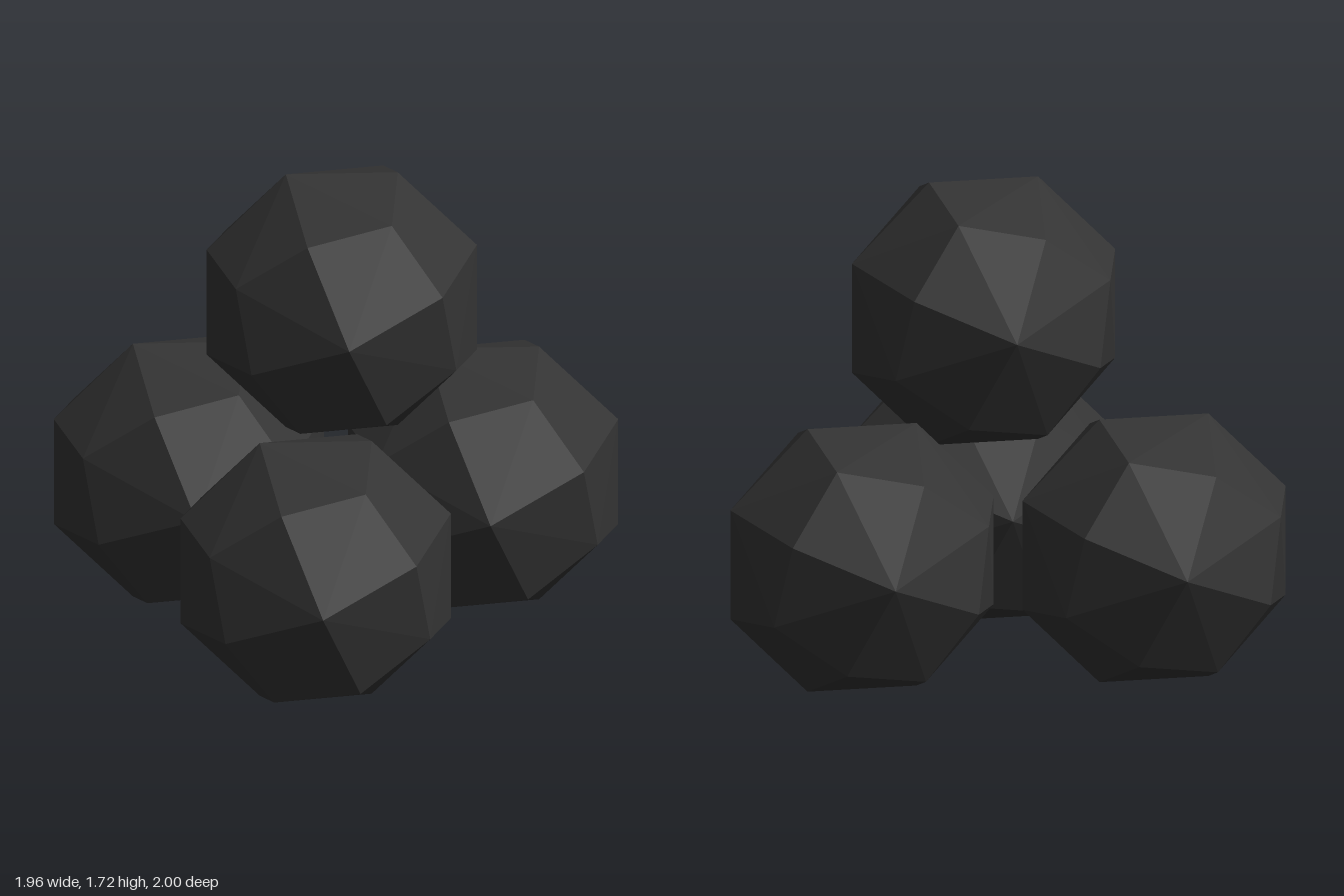
import * as THREE from 'three';
import { ConvexGeometry } from 'three/addons/geometries/ConvexGeometry.js';

const RADIUS = 0.508;

// Faceted ball: the corners, edge midpoints and face centres of a cube pushed onto a sphere
function ballGeometry() {
  const points = [];
  for (let x = -1; x <= 1; x++)
    for (let y = -1; y <= 1; y++)
      for (let z = -1; z <= 1; z++)
        if (x || y || z) points.push(new THREE.Vector3(x, y, z).setLength(RADIUS));
  return new ConvexGeometry(points).rotateZ(Math.PI / 8);
}

export function createModel() {
  const group = new THREE.Group();
  group.name = 'ballPile';
  const charcoal = new THREE.MeshStandardMaterial({ color: 0x333333, flatShading: true });
  charcoal.name = 'charcoal';
  const geometry = ballGeometry();

  // Three balls on the ground and one stacked on top
  const balls = {
    frontBall: [-0.12, 0.47, 0.492],
    backRightBall: [-0.51, 0.47, -0.492],
    backLeftBall: [0.507, 0.47, -0.392],
    topBall: [0, 1.247, -0.08],
  };
  for (const [name, position] of Object.entries(balls)) {
    const ball = new THREE.Mesh(geometry, charcoal);
    ball.name = name;
    ball.position.set(...position);
    group.add(ball);
  }
  return group;
}
